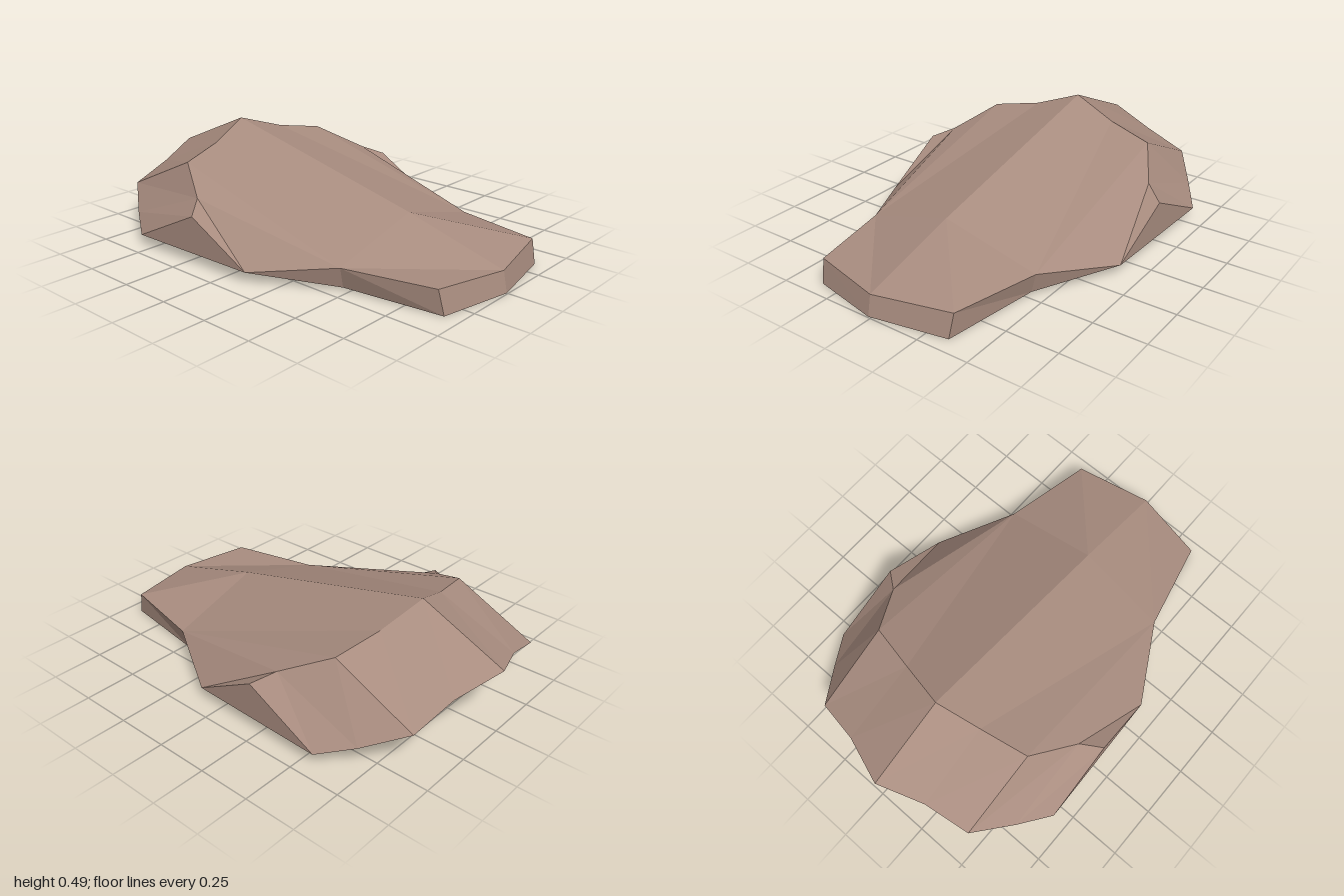
import * as THREE from 'three';

// Corners of one half (+x side); the other half is mirrored
const P = {
  ridgeFront: [0, 0.24, 0.49], ridgeBack: [0, 0.49, -0.58], tail: [0, 0.305, -1],
  arcA: [0.22, 0.415, -0.53], arcB: [0.45, 0.373, -0.48], arcC: [0.575, 0.275, -0.27],
  sideTop: [0.67, 0.23, -0.2], sideFront: [0.66, 0.055, 0.12], sideBack: [0.68, 0.055, -0.56],
  neck: [0.455, 0.112, 0.475], neckLow: [0.43, 0.015, 0.47],
  backA: [0.23, 0.25, -0.92], backB: [0.45, 0.185, -0.885], backC: [0.58, 0.105, -0.71],
  lipTop: [0.36, 0.115, 0.9], lipTip: [0, 0.105, 0.98],
  lipLow: [0.35, 0.003, 0.925], lipTipLow: [0, 0.008, 1], keel: [0, 0.015, 0.5],
};

// Builds a faceted sheet from corner loops and mirrors it across x
function sheet(name, faces, material) {
  const pos = [];
  for (const side of [1, -1]) {
    for (const face of faces) {
      const loop = face.map((key) => {
        const [x, y, z] = P[key];
        return [x * side - (x === 0 ? 0.01 : 0), y, z];
      });
      if (side < 0) loop.reverse();
      for (let i = 1; i < loop.length - 1; i++) pos.push(...loop[0], ...loop[i], ...loop[i + 1]);
    }
  }
  const geometry = new THREE.BufferGeometry();
  geometry.setAttribute('position', new THREE.Float32BufferAttribute(pos, 3));
  geometry.computeVertexNormals();
  const mesh = new THREE.Mesh(geometry, material);
  mesh.name = name;
  return mesh;
}

export function createModel() {
  const clay = new THREE.MeshStandardMaterial({ color: 0xa88c7f, flatShading: true, side: THREE.DoubleSide });
  clay.name = 'dusty brown';
  const group = new THREE.Group();
  group.name = 'facetedShell';

  // Ridged roof sloping down to the front
  group.add(sheet('roof', [
    ['ridgeFront', 'neck', 'arcA'], ['ridgeFront', 'arcA', 'ridgeBack'],
    ['neck', 'arcB', 'arcA'], ['neck', 'arcC', 'arcB'],
    ['neck', 'sideFront', 'arcC'], ['sideFront', 'sideTop', 'arcC'],
  ], clay));

  // Band of facets falling to the rear edge
  group.add(sheet('rearBand', [
    ['ridgeBack', 'arcA', 'backA', 'tail'], ['arcA', 'arcB', 'backB', 'backA'],
    ['arcB', 'arcC', 'backC', 'backB'], ['arcC', 'sideTop', 'sideBack', 'backC'],
  ], clay));

  // Upright flanks
  group.add(sheet('flanks', [
    ['sideTop', 'sideFront', 'sideBack'], ['neck', 'neckLow', 'sideFront'],
  ], clay));

  // Front tongue: top, lip, sides and underside
  group.add(sheet('tongue', [
    ['ridgeFront', 'lipTip', 'lipTop', 'neck'],
    ['lipTip', 'lipTipLow', 'lipLow', 'lipTop'],
    ['lipTop', 'lipLow', 'neckLow', 'neck'],
    ['lipTipLow', 'keel', 'neckLow', 'lipLow'],
  ], clay));

  return group;
}
